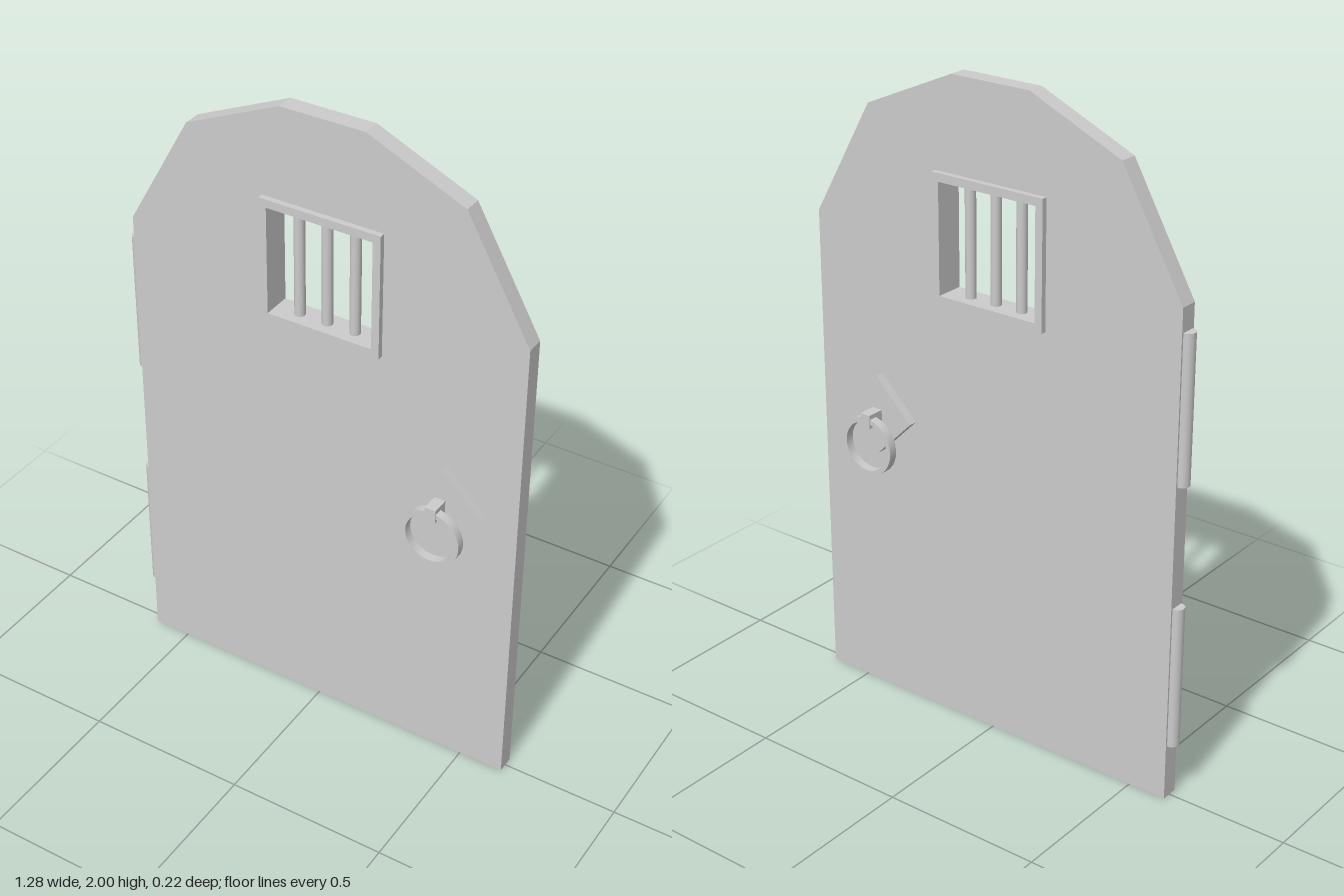
import * as THREE from 'three';
import { toCreasedNormals } from 'three/addons/utils/BufferGeometryUtils.js';

const grey = new THREE.MeshStandardMaterial({ color: 0xcccccc });

function add(parent, name, geometry, x = 0, y = 0, z = 0) {
  const mesh = new THREE.Mesh(geometry, grey);
  mesh.name = name;
  mesh.position.set(x, y, z);
  parent.add(mesh);
  return mesh;
}

// Closed outline from x, y pairs
const outline = (pairs) => new THREE.Shape(pairs.map(([x, y]) => new THREE.Vector2(x, y)));
const rect = (w, h) => outline([[-w / 2, -h / 2], [w / 2, -h / 2], [w / 2, h / 2], [-w / 2, h / 2]]);

// Extrusion centred on z = 0
function slab(shape, depth, curveSegments = 12) {
  const geometry = new THREE.ExtrudeGeometry(shape, { depth, bevelEnabled: false, curveSegments });
  return geometry.translate(0, 0, -depth / 2);
}

export function createModel() {
  const door = new THREE.Group();
  door.name = 'door';
  const cx = 0.01, windowY = 1.528;

  // Door leaf with a faceted arch and a window opening
  const half = [[0.63, 0], [0.63, 1.513], [0.43, 1.868], [0.131, 2]];
  const leaf = outline([...half, ...half.map(([x, y]) => [-x, y]).reverse()]);
  leaf.holes.push(outline(rect(0.36, 0.36).getPoints().map((p) => [p.x, p.y + windowY])));
  add(door, 'doorLeaf', slab(leaf, 0.055), cx);

  // Window frame, proud of both faces
  const frame = rect(0.381, 0.385);
  frame.holes.push(rect(0.333, 0.335));
  add(door, 'windowFrame', slab(frame, 0.09), cx, windowY);

  // Window bars
  for (const i of [-1, 0, 1]) {
    add(door, 'windowBar', new THREE.CylinderGeometry(0.016, 0.016, 0.35, 12), cx + i * 0.089, windowY);
  }

  // Hinge barrels along the edge
  for (const y of [0.398, 1.218]) {
    add(door, 'hinge', new THREE.CylinderGeometry(0.022, 0.022, 0.446, 16), -0.622, y);
  }

  // Diamond plate, lug and ring pull on each face
  const ring = new THREE.Shape().absarc(0, 0, 0.092, 0, Math.PI * 2);
  ring.holes.push(new THREE.Path().absarc(0, 0, 0.077, 0, Math.PI * 2, true));
  const ringGeometry = toCreasedNormals(slab(ring, 0.027, 16), 0.6);
  for (const side of [1, -1]) {
    const handle = new THREE.Group();
    handle.name = side > 0 ? 'frontHandle' : 'backHandle';
    handle.position.set(0.411, 0.933, 0);
    const plate = add(handle, 'handlePlate', new THREE.BoxGeometry(0.176, 0.176, 0.035), 0, 0, side * 0.0375);
    plate.rotation.z = Math.PI / 4;
    add(handle, 'handleLug', new THREE.BoxGeometry(0.034, 0.042, 0.06), 0, -0.001, side * 0.08);
    add(handle, 'handleRing', ringGeometry, 0, -0.084, side * 0.0945);
    door.add(handle);
  }
  return door;
}
